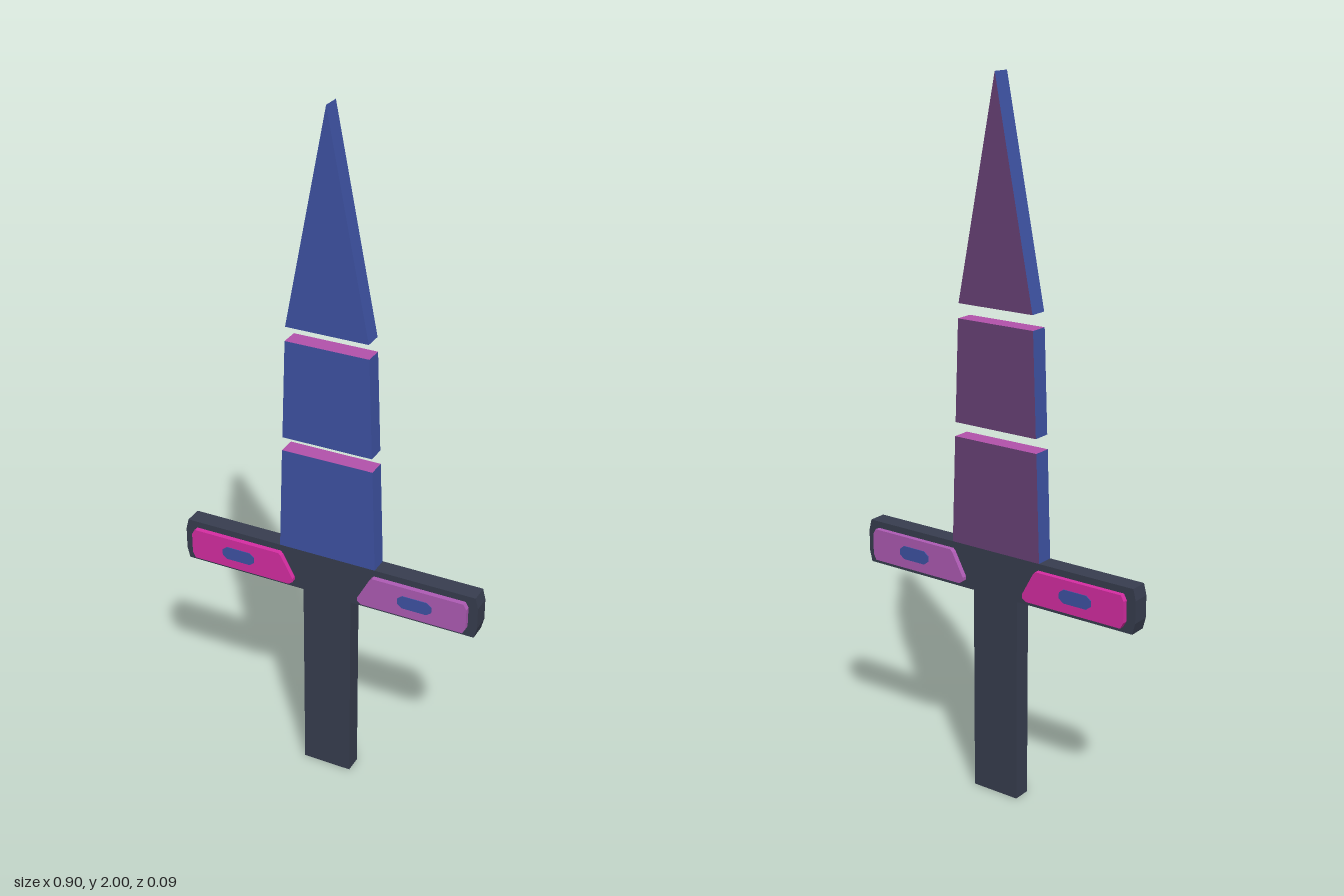
import * as THREE from 'three';

const mat = (name, color) => {
  const m = new THREE.MeshStandardMaterial({ color });
  m.name = name;
  return m;
};

// Flat slab: outline in x/y, centred on z = 0
function slab(points, halfDepth) {
  const shape = new THREE.Shape(points.map(([x, y]) => new THREE.Vector2(x, y)));
  const geo = new THREE.ExtrudeGeometry(shape, { depth: halfDepth * 2, bevelEnabled: false });
  return geo.translate(0, 0, -halfDepth);
}

// Regroup triangles: 0 front and cutting edges, 1 back, 2 horizontal cut faces
function groupBladeFaces(geo) {
  const n = geo.attributes.normal;
  geo.clearGroups();
  for (let i = 0; i < n.count; i += 3) {
    const face = n.getZ(i) < -0.5 ? 1 : Math.abs(n.getY(i)) > 0.9 ? 2 : 0;
    geo.addGroup(i, 3, face);
  }
  return geo;
}

export function createModel() {
  const blue = mat('blade blue', 0x3f54a6);
  const plum = mat('blade back plum', 0x6a4379);
  const orchid = mat('blade cut orchid', 0xb452ac);
  const dark = mat('dark slate', 0x383e50);
  const magenta = mat('magenta', 0xd82da4);
  const purple = mat('purple', 0xb05cb6);

  const group = new THREE.Group();
  group.name = 'dagger';
  const add = (name, geo, material, parent = group) => {
    const mesh = new THREE.Mesh(geo, material);
    mesh.name = name;
    parent.add(mesh);
    return mesh;
  };
  const half = 0.026;

  // Blade in three floating pieces: [name, bottom y, half width, top y, half width]
  const blade = new THREE.Group();
  blade.name = 'blade';
  group.add(blade);
  for (const [name, y0, w0, y1, w1] of [
    ['bladeBase', 0.725, 0.145, 1.03, 0.134],
    ['bladeMiddle', 1.07, 0.132, 1.357, 0.121],
    ['bladeTip', 1.398, 0.119, 2, 0],
  ]) {
    const outline = [[-w0, y0], [w0, y0]];
    if (w1) outline.push([w1, y1], [-w1, y1]);
    else outline.push([0, y1]);
    add(name, groupBladeFaces(slab(outline, half)), [blue, plum, orchid], blade);
  }

  // Crossguard with tapered ends
  const end = [[0.44, 0.598], [0.448, 0.63], [0.448, 0.693], [0.44, 0.725]];
  const mirrored = end.map(([x, y]) => [-x, y]).reverse();
  add('crossguard', slab([...end, ...mirrored], half), dark);

  // Grip in two stacked sections
  for (const [name, y0, y1] of [['lowerGrip', 0, 0.46], ['upperGrip', 0.46, 0.598]]) {
    const geo = new THREE.BoxGeometry(0.146, y1 - y0, half * 2);
    add(name, geo.translate(0, (y0 + y1) / 2, 0), dark);
  }

  // Raised guard panels, each with an inlay on both faces
  const panel = [
    [0.112, 0.613], [0.412, 0.613], [0.421, 0.63], [0.421, 0.69],
    [0.412, 0.706], [0.143, 0.706], [0.136, 0.699], [0.1, 0.632], [0.1, 0.622],
  ];
  const inlay = [
    [0.235, 0.64], [0.307, 0.64], [0.321, 0.651], [0.321, 0.668],
    [0.307, 0.679], [0.235, 0.679], [0.221, 0.668], [0.221, 0.651],
  ];
  for (const [side, s, material] of [['left', 1, purple], ['right', -1, magenta]]) {
    const flip = (pts) => pts.map(([x, y]) => [x * s, y]);
    add(side + 'GuardPanel', slab(flip(panel), 0.041), material);
    for (const [face, z] of [['Front', 1], ['Back', -1]]) {
      add(side + face + 'Inlay', slab(flip(inlay), 0.002), blue).position.z = z * 0.041;
    }
  }
  return group;
}
